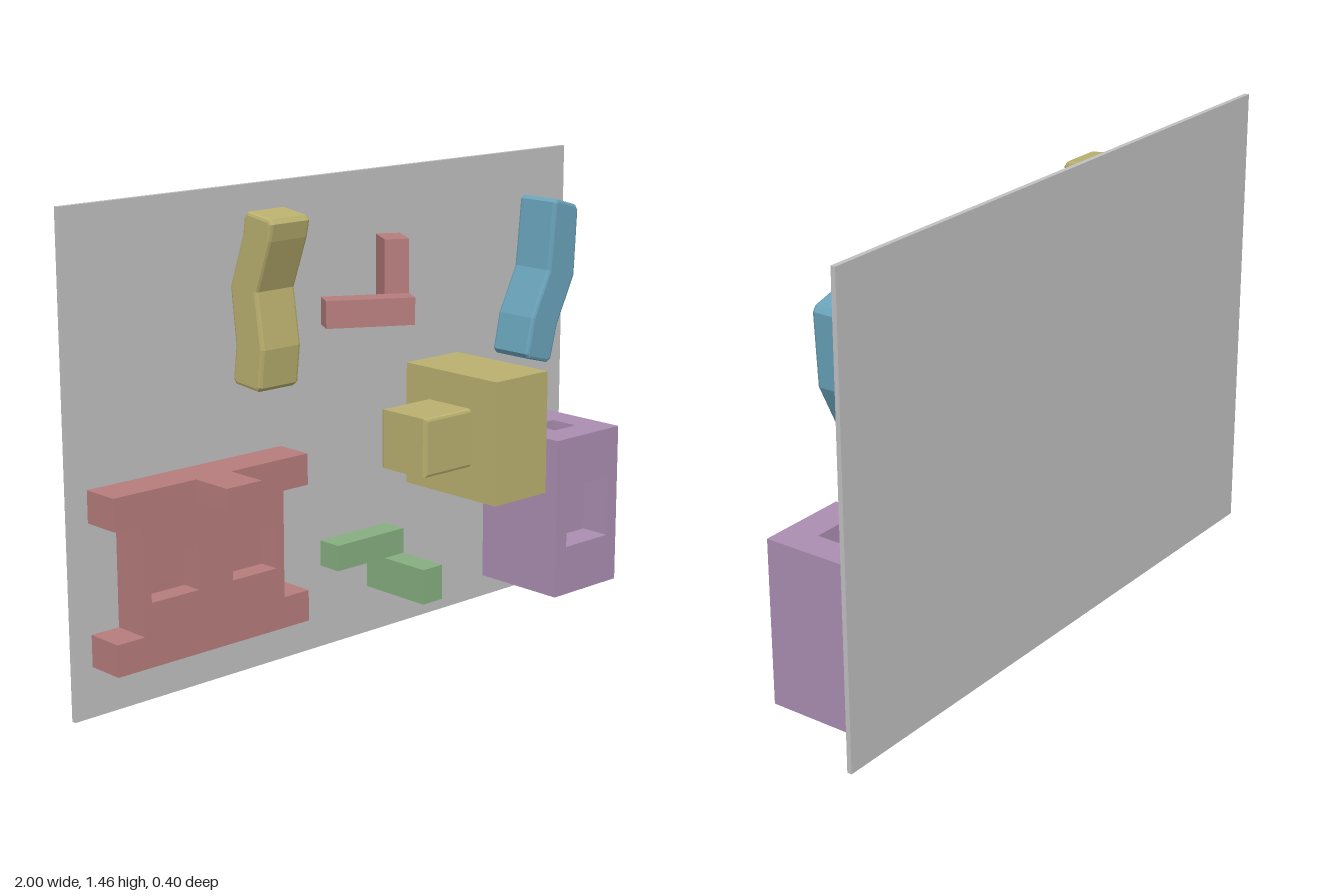
import * as THREE from 'three';

export function createModel() {
  const root = new THREE.Group();
  root.name = 'climbingWall';

  const paint = (name, color) => {
    const m = new THREE.MeshStandardMaterial({ color });
    m.name = name;
    return m;
  };
  const grey = paint('grey', 0xc0c0c0);
  const red = paint('red', 0xb67c7c);
  const yellow = paint('yellow', 0xbab06f);
  const green = paint('green', 0x86ae80);
  const purple = paint('purple', 0xaa8eb1);
  const blue = paint('blue', 0x69a3ba);
  const BACK = -0.185; // face of the wall panel

  const group = (name, parent = root) => {
    const g = new THREE.Group();
    g.name = name;
    parent.add(g);
    return g;
  };
  const add = (parent, name, geo, mat) => {
    const mesh = new THREE.Mesh(geo, mat);
    mesh.name = name;
    parent.add(mesh);
    return mesh;
  };
  // Box given by its limits on each axis
  const box = (parent, name, mat, [x0, x1], [y0, y1], [z0, z1]) => {
    const mesh = add(parent, name, new THREE.BoxGeometry(x1 - x0, y1 - y0, z1 - z0), mat);
    mesh.position.set((x0 + x1) / 2, (y0 + y1) / 2, (z0 + z1) / 2);
    return mesh;
  };
  const toPath = (pts, Type = THREE.Shape) => new Type(pts.map(([x, y]) => new THREE.Vector2(x, y)));
  const rect = (x0, x1, y0, y1) => [[x0, y0], [x1, y0], [x1, y1], [x0, y1]];
  // Straight extrusion of an outline, with optional holes
  const plate = (pts, depth, holes = []) => {
    const shape = toPath(pts);
    holes.forEach(h => shape.holes.push(toPath(h, THREE.Path)));
    return new THREE.ExtrudeGeometry(shape, { depth, bevelEnabled: false });
  };
  // Extrusion with a narrow bevel that stays inside the outline
  const bevelled = (pts, depth, b = 0.01) => {
    const geo = new THREE.ExtrudeGeometry(toPath(pts), {
      depth: depth - 2 * b, bevelThickness: b, bevelSize: b, bevelOffset: -b, bevelSegments: 2
    });
    return geo.translate(0, 0, b);
  };
  // Trim the sharp corners at the two ends of a bent profile
  const trimEnds = (pts, corners, cut = 0.013) => pts.flatMap((p, i) => {
    if (!corners.includes(i)) return [p];
    const n = pts.length;
    return [pts[(i + n - 1) % n], pts[(i + 1) % n]].map(q => {
      const k = cut / Math.hypot(q[0] - p[0], q[1] - p[1]);
      return [p[0] + (q[0] - p[0]) * k, p[1] + (q[1] - p[1]) * k];
    });
  });

  // Wall panel
  box(root, 'wallPanel', grey, [-1, 1], [0, 1.455], [-0.2, BACK]);

  // Wide red block with flanges, two pockets and a ledge
  const wide = group('wideBlock');
  const outline = [
    [-0.935, 0.15], [-0.23, 0.15], [-0.23, 0.245], [-0.325, 0.245],
    [-0.325, 0.57], [-0.23, 0.57], [-0.23, 0.665], [-0.935, 0.665],
    [-0.935, 0.57], [-0.84, 0.57], [-0.84, 0.245], [-0.935, 0.245]
  ];
  const pockets = [rect(-0.813, -0.645, 0.34, 0.473), rect(-0.52, -0.355, 0.34, 0.473)];
  add(wide, 'wideBlockBack', plate(outline, 0.055), red).position.z = BACK;
  add(wide, 'wideBlockFront', plate(outline, 0.065, pockets), red).position.z = -0.13;
  box(wide, 'ledge', red, [-0.647, -0.52], [0.6, 0.665], [-0.065, 0.07]);

  // Upright yellow bent hold, profile in depth and height
  const bentProfile = [
    [-0.06, 0.875], [-0.045, 1.0], [-0.07, 1.165], [-0.012, 1.315], [0.002, 1.377],
    [-0.117, 1.393], [-0.127, 1.325], [-0.185, 1.17], [-0.165, 1.0], [-0.18, 0.885]
  ];
  const bent = add(root, 'bentHold', bevelled(trimEnds(bentProfile, [0, 4, 5, 9]), 0.147), yellow);
  bent.rotation.y = -Math.PI / 2;
  bent.position.x = -0.268;

  // Blue bent hold, profile in the plane of the wall
  const blueProfile = [
    [0.786, 0.788], [0.818, 0.91], [0.893, 1.06], [0.906, 1.285],
    [0.795, 1.317], [0.772, 1.09], [0.70, 0.945], [0.673, 0.818]
  ];
  add(root, 'sideBentHold', bevelled(trimEnds(blueProfile, [0, 3, 4, 7]), 0.152), blue).position.z = BACK;

  // Red angled hold turned on the wall
  const elbow = group('angledHold');
  elbow.position.set(0.13, 0, 0.015);
  elbow.rotation.y = -Math.PI / 6;
  box(elbow, 'angledArm', red, [-0.27, 0], [1.01, 1.093], [-0.075, 0]);
  box(elbow, 'angledPost', red, [-0.075, 0], [1.01, 1.257], [-0.19, -0.075]);

  // Yellow block with a smaller block on its side
  const blocks = group('doubleBlock');
  box(blocks, 'largeBlock', yellow, [0.29, 0.515], [0.455, 0.84], [BACK, 0.2]);
  add(blocks, 'smallBlock', bevelled(rect(0.095, 0.3, 0.557, 0.74), 0.19), yellow).position.z = -0.095;

  // Green rail with a projecting arm beneath
  const rail = group('railHold');
  box(rail, 'rail', green, [-0.075, 0.2], [0.26, 0.34], [BACK, -0.105]);
  box(rail, 'projectingArm', green, [0.12, 0.2], [0.15, 0.26], [BACK, 0.065]);

  // Purple block, pocketed on the top, the bottom and the front
  const tall = group('pocketBlock');
  const plan = rect(0.64, 0.93, BACK, 0.135);
  const planHole = [rect(0.738, 0.835, -0.062, 0.035)];
  for (const [name, top] of [['pocketBlockTop', 0.585], ['pocketBlockBottom', 0.17]]) {
    const slab = add(tall, name, plate(plan, 0.1, planHole), purple);
    slab.rotation.x = Math.PI / 2;
    slab.position.y = top;
  }
  box(tall, 'pocketBlockCore', purple, [0.64, 0.93], [0.17, 0.485], [BACK, 0.035]);
  add(tall, 'pocketBlockFront',
    plate(rect(0.64, 0.93, 0.17, 0.485), 0.1, [rect(0.69, 0.885, 0.228, 0.423)]), purple).position.z = 0.035;

  return root;
}
